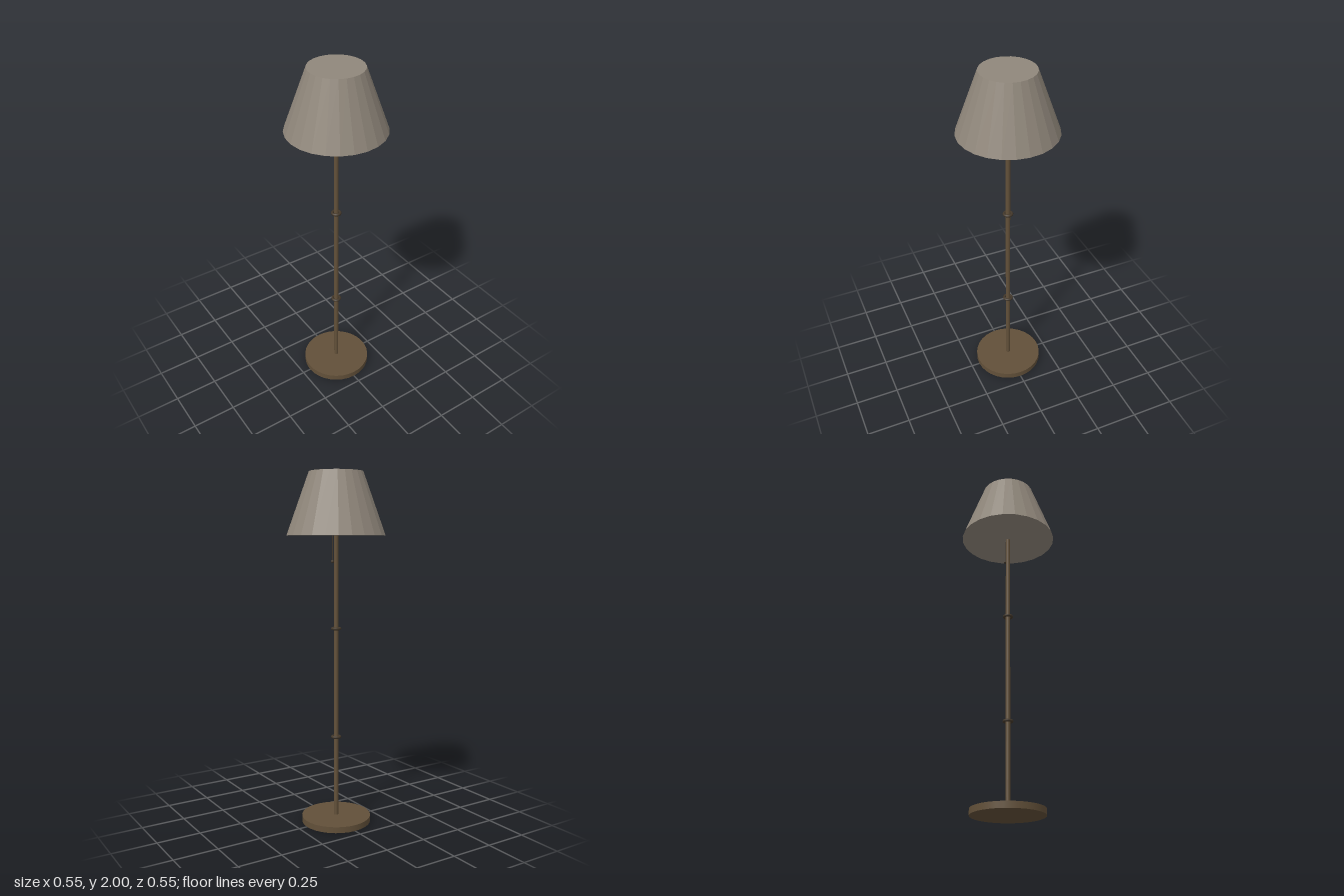
import * as THREE from 'three';

export function createModel() {
  const model = new THREE.Group();
  model.name = 'floorLamp';

  const material = (name, color, flatShading = false) => {
    const m = new THREE.MeshStandardMaterial({ color, flatShading });
    m.name = name;
    return m;
  };
  const fabric = material('shadeFabric', 0x90877b, true);
  const bronze = material('bronze', 0x625039);
  const darkBronze = material('darkBronze', 0x43382b);

  const add = (name, geometry, mat, x, y) => {
    const mesh = new THREE.Mesh(geometry, mat);
    mesh.name = name;
    mesh.position.set(x, y, 0);
    model.add(mesh);
    return mesh;
  };

  // Round foot and slender pole
  add('base', new THREE.CylinderGeometry(0.2, 0.2, 0.035, 32), bronze, 0, 0.0175);
  add('pole', new THREE.CylinderGeometry(0.013, 0.013, 1.64, 16), bronze, 0, 0.845);

  // Decorative rings around the pole
  for (const [name, y] of [['lowerRing', 0.505], ['upperRing', 1.135]]) {
    const ring = new THREE.TorusGeometry(0.022, 0.008, 8, 24).rotateX(Math.PI / 2);
    add(name, ring, darkBronze, 0, y);
  }

  // Closed, faceted tapering shade
  add('shade', new THREE.CylinderGeometry(0.15, 0.275, 0.345, 24), fabric, 0, 1.8275);

  // Pull cord with a small bead
  add('pullCord', new THREE.CylinderGeometry(0.003, 0.003, 0.15, 8), darkBronze, 0.025, 1.585);
  add('pullBead', new THREE.SphereGeometry(0.009, 12, 8), darkBronze, 0.025, 1.511);

  return model;
}
